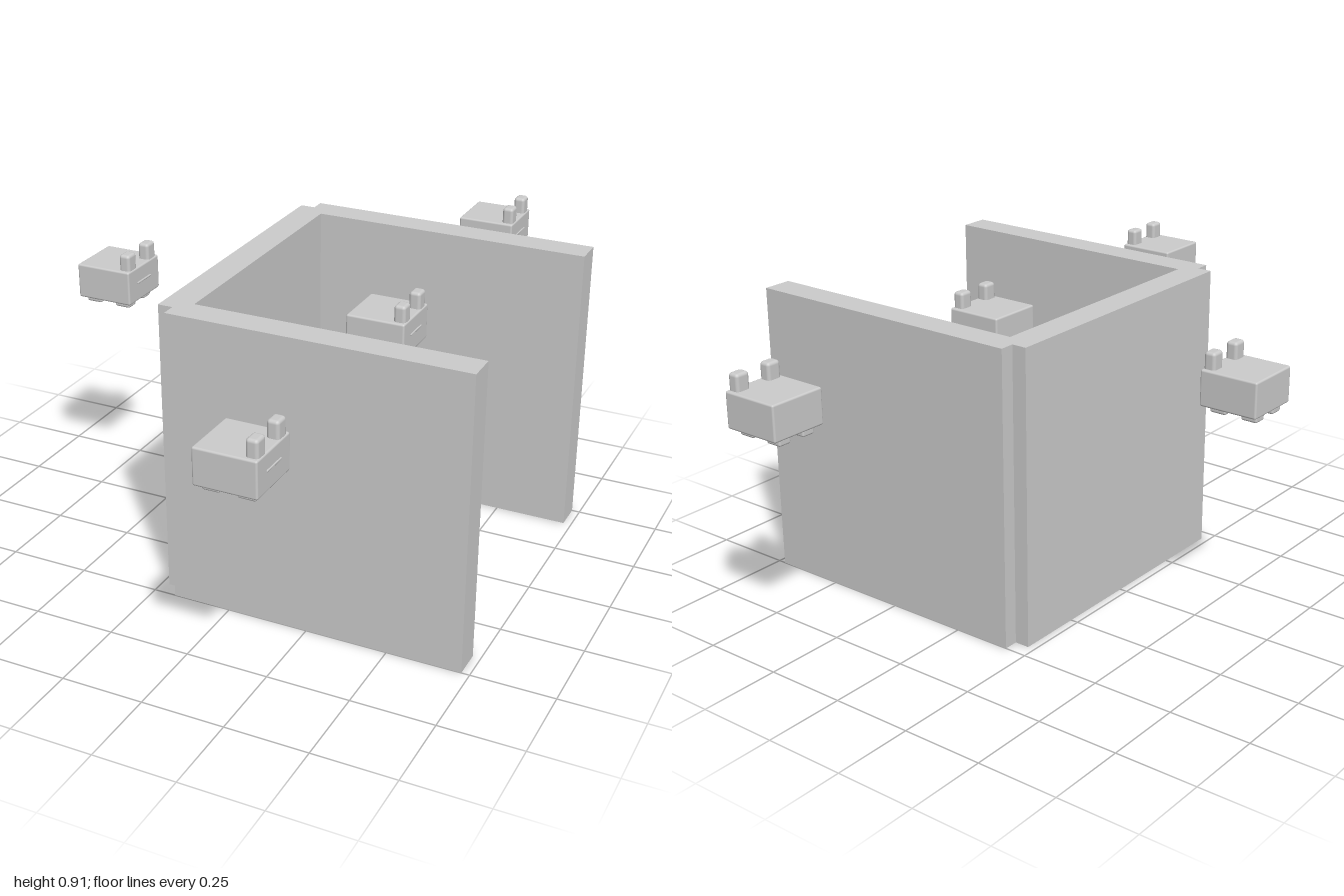
import * as THREE from 'three';
import { RoundedBoxGeometry } from 'three/addons/geometries/RoundedBoxGeometry.js';

const material = new THREE.MeshStandardMaterial({ color: 0xcccccc });

function add(parent, name, geometry, x, y, z) {
  const mesh = new THREE.Mesh(geometry, material);
  mesh.name = name;
  mesh.position.set(x, y, z);
  parent.add(mesh);
  return mesh;
}

// Small blocky animal facing +x, centred on its body
function createAnimal() {
  const animal = new THREE.Group();
  animal.name = 'animal';
  add(animal, 'body', new RoundedBoxGeometry(0.182, 0.108, 0.18, 2, 0.006), 0, 0, 0);
  add(animal, 'mouth', new RoundedBoxGeometry(0.008, 0.007, 0.08, 1, 0.003), 0.09, 0.004, 0);

  const ear = new RoundedBoxGeometry(0.036, 0.066, 0.046, 2, 0.01);
  const foot = new RoundedBoxGeometry(0.051, 0.034, 0.042, 2, 0.006);
  for (const side of [-1, 1]) {
    add(animal, 'ear', ear, 0.07, 0.071, side * 0.056);
    add(animal, 'backFoot', foot, -0.054, -0.058, side * 0.043);
    add(animal, 'frontFoot', foot, 0.047, -0.058, side * 0.043);
  }
  return animal;
}

export function createModel() {
  const model = new THREE.Group();
  model.name = 'animalPen';

  // Three walls, open towards +x
  const height = 0.91;
  const thickness = 0.09;
  const sideWall = new THREE.BoxGeometry(0.907, height, thickness);
  for (const side of [-1, 1]) {
    add(model, 'sideWall', sideWall, 0.272, height / 2, side * 0.455);
  }
  add(model, 'backWall', new THREE.BoxGeometry(thickness, height, 0.91), -0.182, height / 2, 0);

  // One animal inside the pen and one beyond each wall
  for (const [x, z] of [[0.269, 0], [0.269, 0.91], [0.269, -0.91], [-0.639, 0]]) {
    const animal = createAnimal();
    animal.position.set(x, 0.761, z);
    model.add(animal);
  }
  return model;
}
